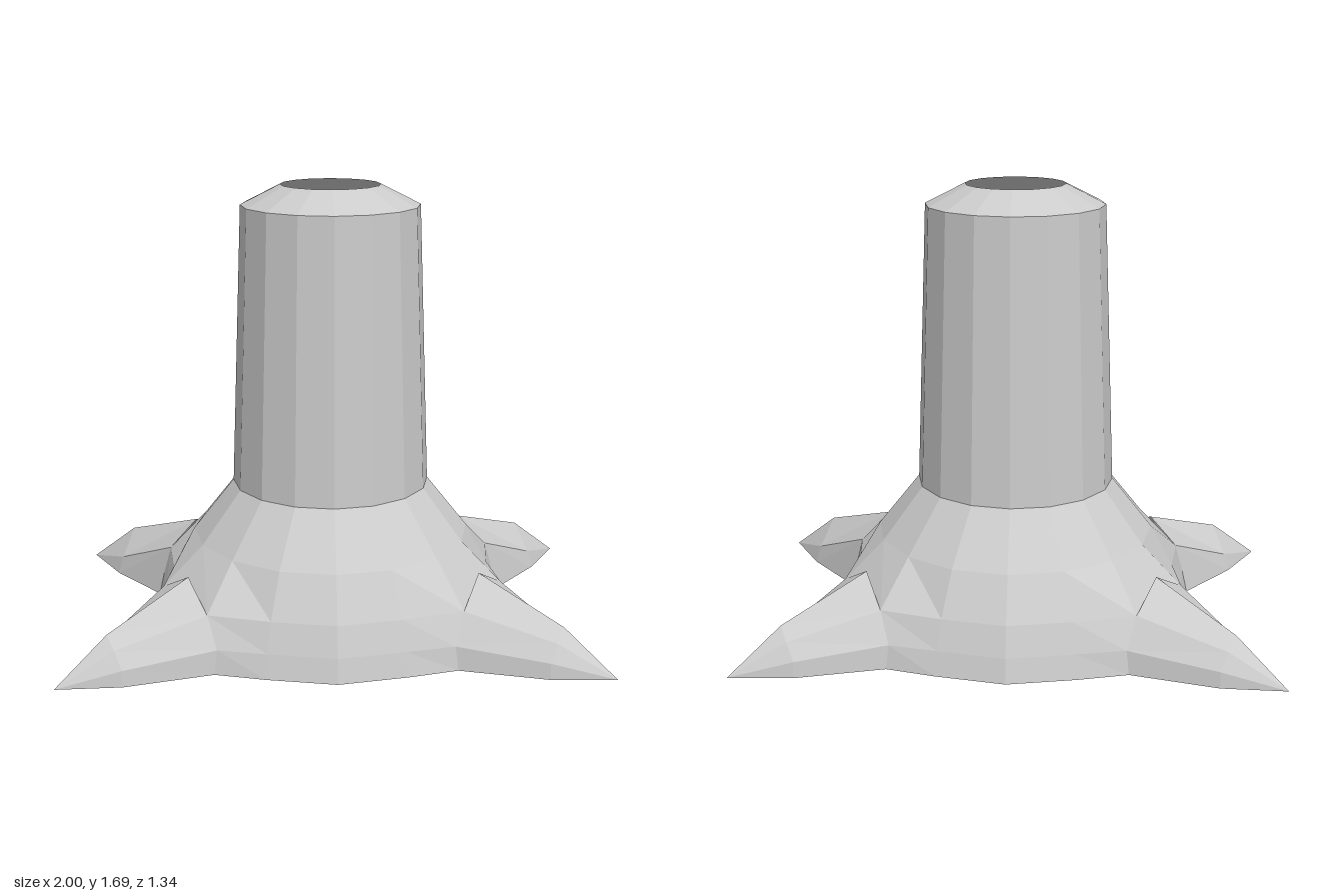
import * as THREE from 'three';

const material = new THREE.MeshStandardMaterial({
  color: 0xcccccc, flatShading: true, side: THREE.DoubleSide,
});

// Cross-sections of one root (front left), from its front edge over the ridge to its side edge
const rootBase = [
  [0.44, 0, 0.57], [0.43, 0.09, 0.56], [0.465, 0.2, 0.5],
  [0.54, 0.28, 0.325], [0.64, 0.2, 0.21], [0.69, 0, 0.21],
];
const rootMid = [
  [0.76, 0, 0.66], [0.76, 0.06, 0.655], [0.79, 0.12, 0.62],
  [0.82, 0.16, 0.565], [0.86, 0.07, 0.455], [0.88, 0, 0.45],
];
const rootTip = [1, 0, 0.67];

// Shell columns that border a root opening, bottom row first
const frontEdge = [rootBase[0], rootBase[1], rootBase[2]];
const sideEdge = [rootBase[5], [0.67, 0.09, 0.21], rootBase[4]];

// Hollow trunk with a flared foot, open at both ends, with four root openings
function trunkGeometry() {
  const sides = 16;
  const profile = [
    [0.67, 0], [0.65, 0.09], [0.615, 0.2], [0.53, 0.36],
    [0.375, 0.555], [0.335, 1.615], [0.187, 1.69],
  ].map(([r, y]) => new THREE.Vector2(r, y));
  const geometry = new THREE.LatheGeometry(profile, sides);
  const pos = geometry.attributes.position;
  const rows = profile.length;

  // Pull the lower columns out to the root edges
  for (let i = 0; i < sides; i++) {
    const edge = i % 4 === 2 ? frontEdge : [3, 5, 11, 13].includes(i) ? sideEdge : null;
    if (!edge) continue;
    edge.forEach(([x, y, z], j) => {
      const k = i * rows + j;
      pos.setXYZ(k, Math.sign(pos.getX(k)) * x, y, Math.sign(pos.getZ(k)) * z);
    });
  }

  // Leave out the faces where the roots open into the shell
  const source = Array.from(geometry.index.array);
  const kept = source.filter((_, n) => {
    const quad = Math.floor(n / 6);
    const segment = Math.floor(quad / (rows - 1));
    const row = quad % (rows - 1);
    return !([2, 5, 10, 13].includes(segment) && row < 2);
  });
  geometry.setIndex(kept);
  const flat = geometry.toNonIndexed();
  flat.computeVertexNormals();
  return flat;
}

// Pointed root, mirrored by the signs sx and sz
function rootGeometry(sx, sz) {
  const points = [...rootBase, ...rootMid, rootTip];
  const n = rootBase.length;
  const index = [];
  const face = (a, b, c) => (sx * sz > 0 ? index.push(a, b, c) : index.push(a, c, b));
  for (let i = 0; i < n; i++) {
    const j = (i + 1) % n;
    face(i, n + i, n + j);
    face(i, n + j, j);
    face(n + i, 2 * n, n + j);
  }
  const geometry = new THREE.BufferGeometry();
  geometry.setAttribute('position', new THREE.Float32BufferAttribute(
    points.flatMap(([x, y, z]) => [sx * x, y, sz * z]), 3));
  geometry.setIndex(index);
  const flat = geometry.toNonIndexed();
  flat.computeVertexNormals();
  return flat;
}

export function createModel() {
  const model = new THREE.Group();
  model.name = 'hollowTrunk';

  const add = (name, geometry) => {
    const mesh = new THREE.Mesh(geometry, material);
    mesh.name = name;
    model.add(mesh);
  };

  add('trunk', trunkGeometry());
  for (const sx of [1, -1]) {
    for (const sz of [1, -1]) {
      add((sz > 0 ? 'front' : 'back') + (sx > 0 ? 'Left' : 'Right') + 'Root', rootGeometry(sx, sz));
    }
  }
  return model;
}
